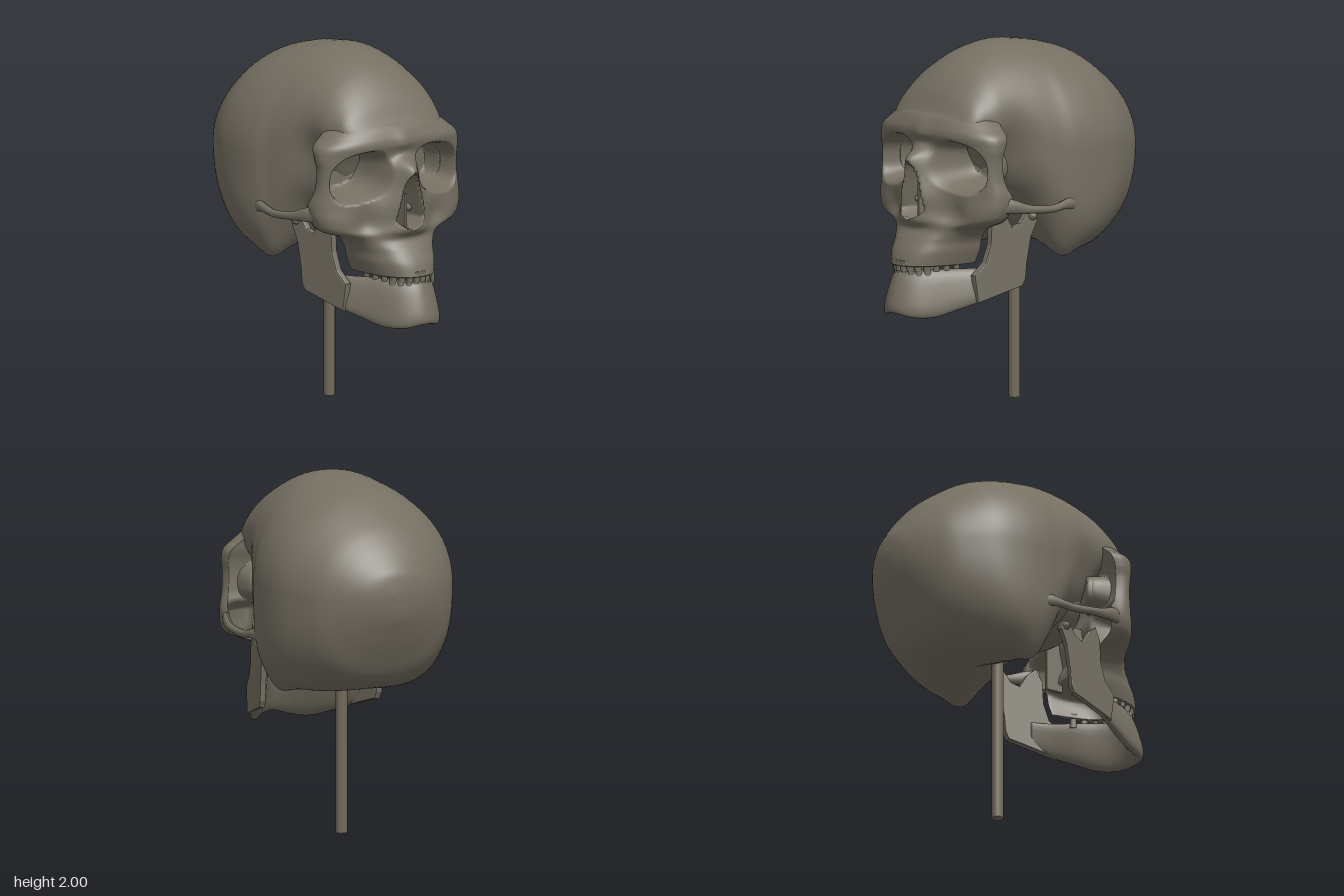
import * as THREE from 'three';

const bone = new THREE.MeshStandardMaterial({ color: 0x767063, side: THREE.DoubleSide });
bone.name = 'bone';
const rod = new THREE.MeshStandardMaterial({ color: 0x726a5b });
rod.name = 'stand rod';

const { smoothstep: smooth, lerp } = THREE.MathUtils;
const spow = (v, p) => Math.sign(v) * Math.abs(v) ** p;

// Smoothly resample a table of stations, `per` steps between each pair.
function resample(table, per) {
  const out = [], last = table.length - 1;
  for (let k = 0; k <= last * per; k++) {
    const i = Math.min(Math.floor(k / per), last - 1), t = k / per - i;
    const row = n => table[Math.max(0, Math.min(last, n))];
    out.push(table[0].map((_, c) => {
      const a = row(i - 1)[c], b = row(i)[c], d = row(i + 1)[c], e = row(i + 2)[c];
      return b + 0.5 * t * (d - a + t * (2 * a - 5 * b + 4 * d - e + t * (3 * (b - d) + e - a)));
    }));
  }
  return out;
}

// Skin closed loops of equal, even length; ends are closed with strips.
function loft(rows) {
  const m = rows[0].length, index = [], end = (rows.length - 1) * m;
  for (let r = 0; r < rows.length - 1; r++) {
    for (let j = 0; j < m; j++) {
      const a = r * m + j, b = r * m + (j + 1) % m;
      index.push(a, b, b + m, a, b + m, a + m);
    }
  }
  for (let i = 0; i < m / 2 - 1; i++) {
    const a = i, b = i + 1, c = m - 2 - i, d = m - 1 - i;
    index.push(a, c, b, a, d, c, end + a, end + b, end + c, end + a, end + c, end + d);
  }
  const g = new THREE.BufferGeometry();
  g.setAttribute('position', new THREE.Float32BufferAttribute(rows.flat(2), 3));
  g.setIndex(index);
  g.computeVertexNormals();
  return g;
}

// Braincase: sections along z as [z, top, bottom, halfWidth, widestY, lowerExponent]
function craniumGeometry() {
  const stations = [
    [-0.82, 1.44, 1.40, 0.03, 1.42, 2], [-0.805, 1.53, 1.30, 0.12, 1.42, 2],
    [-0.77, 1.59, 1.21, 0.215, 1.41, 2.1], [-0.70, 1.69, 1.07, 0.325, 1.40, 2.3],
    [-0.60, 1.79, 0.92, 0.425, 1.40, 2.5], [-0.42, 1.91, 0.835, 0.52, 1.42, 2.9],
    [-0.25, 1.965, 0.82, 0.545, 1.42, 3.8], [-0.10, 1.99, 0.86, 0.53, 1.42, 4.5],
    [0, 2.0, 0.95, 0.49, 1.45, 4], [0.10, 1.99, 1.10, 0.455, 1.50, 3],
    [0.20, 1.965, 1.16, 0.42, 1.55, 2.2], [0.30, 1.92, 1.24, 0.395, 1.58, 2],
    [0.36, 1.88, 1.38, 0.38, 1.59, 2], [0.42, 1.825, 1.49, 0.355, 1.60, 2],
    [0.48, 1.75, 1.52, 0.33, 1.59, 2], [0.53, 1.66, 1.53, 0.28, 1.57, 2],
    [0.565, 1.605, 1.535, 0.21, 1.56, 2], [0.58, 1.57, 1.54, 0.08, 1.555, 2]];
  const m = 84;
  return loft(resample(stations, 6).map(([z, top, bottom, w, yc, nLow]) =>
    Array.from({ length: m }, (_, j) => {
      const a = j / m * Math.PI * 2, c = Math.cos(a), s = Math.sin(a);
      const p = s > 0 ? 1 : 2 / nLow, under = smooth(-s, 0.3, 1);
      let x = w * spow(c, p);
      let y = yc + (s > 0 ? top - yc : yc - bottom) * spow(s, p);
      // hollow temples, a raised middle of the base and the mastoids beside it
      x *= 1 - 0.13 * Math.exp(-(((z - 0.26) / 0.11) ** 2) - ((y - 1.42) / 0.17) ** 2);
      y += 0.08 * Math.exp(-((x / 0.17) ** 2) - ((z + 0.13) / 0.2) ** 2) * under;
      y -= 0.07 * Math.exp(-(((Math.abs(x) - 0.39) / 0.09) ** 2) - ((z + 0.1) / 0.1) ** 2) * under;
      return [x, y, z];
    })));
}

// Face: horizontal sections as [y, halfWidth, sideZ, frontZ, noseHeight]
function faceGeometry() {
  const stations = [
    [0.81, 0.195, 0.39, 0.755, 0], [0.88, 0.22, 0.38, 0.735, 0], [0.95, 0.24, 0.38, 0.685, 0.01],
    [1.01, 0.30, 0.39, 0.632, 0.025], [1.06, 0.435, 0.41, 0.59, 0.105], [1.12, 0.48, 0.40, 0.583, 0.11],
    [1.20, 0.49, 0.39, 0.572, 0.14], [1.30, 0.468, 0.415, 0.565, 0.135], [1.40, 0.462, 0.42, 0.57, 0.12],
    [1.47, 0.472, 0.41, 0.575, 0.015], [1.53, 0.463, 0.39, 0.592, 0.015], [1.58, 0.405, 0.38, 0.582, 0.01],
    [1.64, 0.335, 0.36, 0.543, 0], [1.70, 0.28, 0.32, 0.44, 0]];
  const n = 130;
  return loft(resample(stations, 10).map(([y, w, zb, z0, nose]) => {
    const front = [], back = [];
    for (let i = 0; i <= n; i++) {
      const u = i / n * 2 - 1, x = w * (0.5 * u + 0.5 * Math.sin(u * Math.PI / 2)), ax = Math.abs(x);
      const s = Math.min(1, ax / w);
      const noseWidth = 0.06 + 0.26 * Math.max(0, 1.45 - y);
      let z = zb + (z0 - zb) * (1 - s ** 2.4) ** (1 / 2.4) + nose * Math.exp(-((x / noseWidth) ** 2));
      // cheek hollow beside the nose
      z -= 0.03 * Math.exp(-(((ax - 0.23) / 0.08) ** 2) - ((y - 1.1) / 0.07) ** 2);
      // eye sockets, drooping to the outside
      const ox = Math.abs(ax - 0.257) / 0.172, oy = Math.abs(y - 1.36 + 0.15 * (ax - 0.257)) / 0.142;
      const r = (ox ** 2.6 + oy ** 2.6) ** (1 / 2.6);
      z -= 0.24 * (1 - smooth(r, 0.58, 1.03));
      // pear-shaped nasal opening
      const t = (1.375 - y) / 0.31;
      if (t > 0 && t < 1) {
        const half = 0.1 * t ** 0.55 * Math.min(1, Math.sqrt((1 - t) * 6));
        z -= 0.2 * (1 - smooth(ax / half, 0.6, 1.06));
      }
      front.push([x, y, z]);
      // rear wall: thin behind the cheekbone, a horseshoe under the palate
      const palate = (1 - smooth(y, 0.91, 0.97)) * (1 - s ** 8);
      const cheek = smooth(ax, 0.22, 0.29) * smooth(y, 1.0, 1.05) * (1 - smooth(y, 1.18, 1.26));
      const rear = zb - 0.03 + palate * Math.max(0, z - zb - 0.06);
      back.unshift([x * 0.97, y, Math.min(lerp(rear, z - 0.05, cheek), z - 0.02)]);
    }
    return [...front, ...back];
  }));
}

// Jaw body: half path from chin to angle as [x, z, top, bottom, thickness, lean]
function jawGeometry() {
  const half = [
    [0, 0.752, 0.79, 0.55, 0.075, 0.038], [0.08, 0.715, 0.79, 0.53, 0.075, 0.036],
    [0.145, 0.63, 0.79, 0.53, 0.075, 0.028], [0.205, 0.52, 0.79, 0.565, 0.07, 0.025],
    [0.27, 0.41, 0.79, 0.605, 0.055, 0.02], [0.32, 0.30, 0.80, 0.655, 0.035, 0.01]];
  const path = [...half.slice(1).reverse().map(([x, ...rest]) => [-x, ...rest]), ...half];
  const rows = resample(path, 6), m = 24;
  return loft(rows.map(([x, z, top, bottom, thick, lean], i) => {
    const a = rows[Math.max(0, i - 1)], b = rows[Math.min(rows.length - 1, i + 1)];
    const len = Math.hypot(b[0] - a[0], b[1] - a[1]);
    const nx = -(b[1] - a[1]) / len, nz = (b[0] - a[0]) / len;
    return Array.from({ length: m }, (_, j) => {
      const q = j / m * Math.PI * 2, c = spow(Math.cos(q), 0.75), s = spow(Math.sin(q), 0.75);
      const off = thick / 2 * s - lean * c;
      return [x + nx * off, (top + bottom) / 2 + (top - bottom) / 2 * c, z + nz * off];
    });
  }));
}

// Upright jaw branch with its two upper processes, outlined as [z, y]
function ramusGeometry() {
  const outline = [
    [0.44, 0.61], [0.24, 0.668], [0.175, 0.685], [0.158, 0.72], [0.15, 0.81], [0.125, 0.95],
    [0.085, 1.04], [0.095, 1.085], [0.14, 1.08], [0.18, 1.02], [0.235, 1.0], [0.28, 1.08],
    [0.325, 1.12], [0.355, 1.05], [0.362, 0.92], [0.395, 0.82], [0.46, 0.755]];
  const shape = new THREE.Shape(outline.map(([z, y]) => new THREE.Vector2(-z, y)));
  const g = new THREE.ExtrudeGeometry(shape, {
    depth: 0.022, bevelEnabled: true, bevelSize: 0.006, bevelThickness: 0.008, bevelSegments: 2 });
  g.rotateY(Math.PI / 2);
  const p = g.attributes.position;
  for (let i = 0; i < p.count; i++) p.setX(i, p.getX(i) + 0.378 - 0.22 * p.getZ(i));
  g.computeVertexNormals();
  return g;
}

// Cheek arch: a thin bar that deepens towards both roots
function archGeometry() {
  const curve = new THREE.CatmullRomCurve3([
    [0.445, 1.14, 0.43], [0.485, 1.14, 0.34], [0.51, 1.125, 0.22], [0.512, 1.115, 0.08],
    [0.505, 1.13, -0.03], [0.49, 1.13, -0.14]].map(p => new THREE.Vector3(...p)));
  const g = new THREE.TubeGeometry(curve, 32, 0.022, 12), p = g.attributes.position;
  for (let i = 0; i < p.count; i++) {
    const z = p.getZ(i), grow = 1 + 1.1 * smooth(z, 0.2, 0.42) + 0.9 * smooth(-z, -0.04, 0.14);
    p.setY(i, 1.13 + (p.getY(i) - 1.13) * grow);
  }
  g.computeVertexNormals();
  return g;
}

export function createModel() {
  const model = new THREE.Group();
  model.name = 'skullOnStand';
  const add = (name, geometry, x = 0, y = 0, z = 0, material = bone) => {
    const mesh = new THREE.Mesh(geometry, material);
    mesh.name = name;
    mesh.position.set(x, y, z);
    model.add(mesh);
    return mesh;
  };
  // Adds a left part and its mirror image.
  const pair = (name, geometry, x = 0, y = 0, z = 0) => {
    add(name + 'Left', geometry, x, y, z);
    add(name + 'Right', geometry, -x, y, z).scale.x = -1;
  };

  add('cranium', craniumGeometry());
  add('face', faceGeometry());
  add('jaw', jawGeometry());
  pair('jawBranch', ramusGeometry());
  pair('jawJoint', new THREE.SphereGeometry(1, 14, 10).scale(0.05, 0.028, 0.028), 0.36, 1.065, 0.11);
  pair('cheekArch', archGeometry());

  // Skull base and the plates behind the palate
  add('skullBase', new THREE.SphereGeometry(1, 24, 16).scale(0.28, 0.2, 0.18), 0, 1.31, 0.19);
  pair('palatePlate', new THREE.BoxGeometry(0.02, 0.28, 0.1), 0.12, 1.06, 0.33);
  add('nasalSeptum', new THREE.BoxGeometry(0.012, 0.2, 0.16), 0, 1.15, 0.53);
  pair('nasalShell', new THREE.SphereGeometry(1, 12, 8).scale(0.02, 0.025, 0.06), 0.05, 1.16, 0.53);

  // Teeth along both dental arches
  const upper = new THREE.CylinderGeometry(0.021, 0.017, 0.06, 8).scale(1, 1, 0.8);
  const lower = new THREE.CylinderGeometry(0.017, 0.021, 0.05, 8).scale(1, 1, 0.8);
  for (let i = 0; i < 14; i++) {
    const a = (i - 6.5) / 6.5 * 1.35, s = Math.sin(a), c = Math.cos(a);
    add('upperTooth', upper, 0.182 * s, 0.81, 0.42 + 0.32 * c).rotation.y = a;
    if (i !== 2 && i !== 11) add('lowerTooth', lower, 0.182 * s, 0.78, 0.42 + 0.31 * c).rotation.y = a;
  }

  add('standRod', new THREE.CylinderGeometry(0.033, 0.033, 1.0, 12), 0, 0.5, -0.1, rod);
  return model;
}
